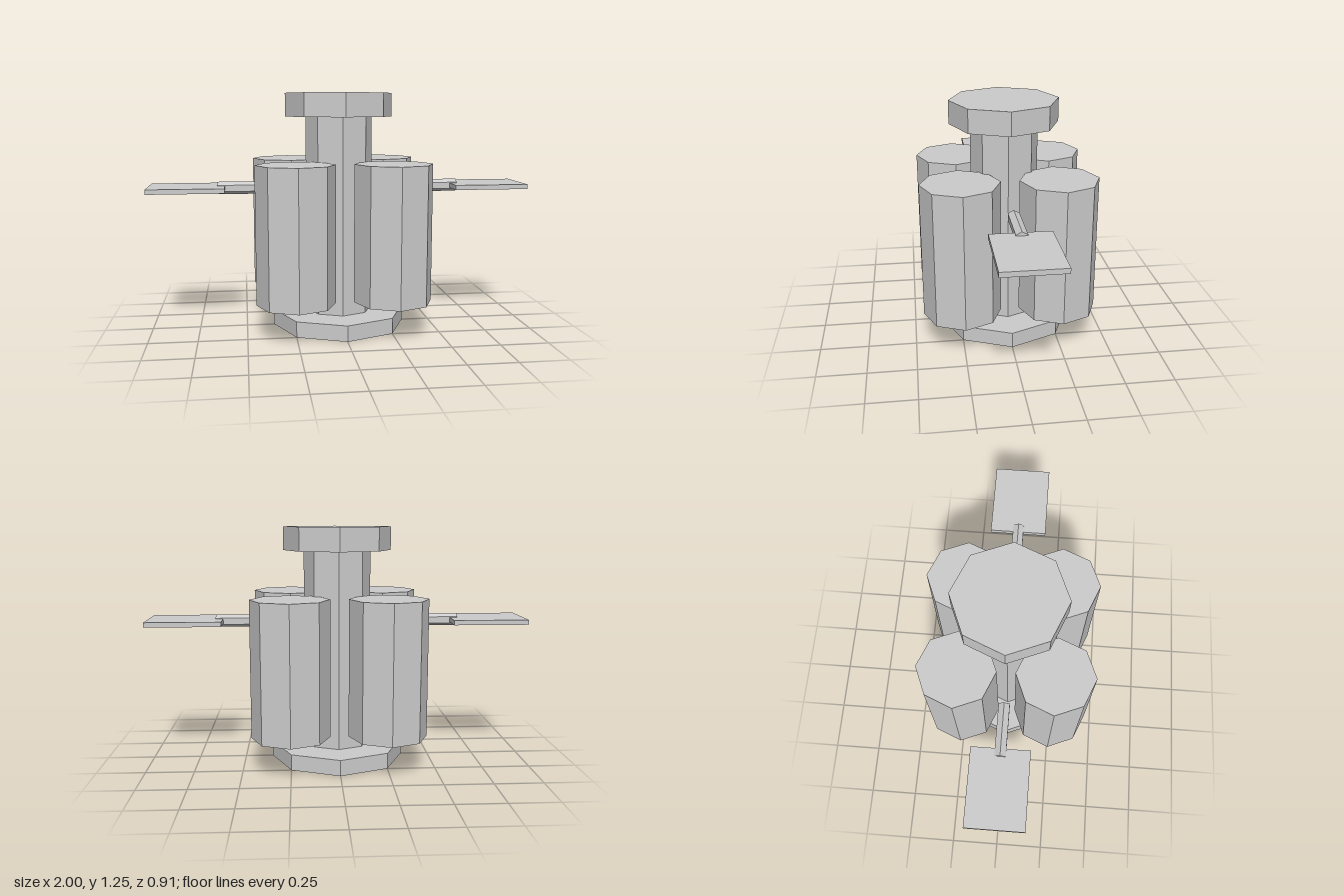
import * as THREE from 'three';

const material = new THREE.MeshStandardMaterial({ color: 0xcccccc, flatShading: true });

function addMesh(parent, name, geometry, x, y, z) {
  const mesh = new THREE.Mesh(geometry, material);
  mesh.name = name;
  mesh.position.set(x, y, z);
  parent.add(mesh);
  return mesh;
}

// Upright eight-sided drum spanning y0 to y1
function addDrum(parent, name, radius, y0, y1, x = 0, z = 0) {
  const geometry = new THREE.CylinderGeometry(radius, radius, y1 - y0, 8);
  return addMesh(parent, name, geometry, x, (y0 + y1) / 2, z);
}

export function createModel() {
  const model = new THREE.Group();
  model.name = 'spaceStation';

  // Central stack
  addDrum(model, 'basePlate', 0.354, 0, 0.083);
  addDrum(model, 'core', 0.177, 0.083, 1.125);
  addDrum(model, 'topCap', 0.285, 1.125, 1.248);

  for (const side of [1, -1]) {
    const label = side > 0 ? 'left' : 'right';

    // Four tanks around the core
    for (const end of [1, -1]) {
      const name = label + (end > 0 ? 'Front' : 'Back') + 'Tank';
      addDrum(model, name, 0.203, 0.177, 0.89, side * 0.25, end * 0.25);
    }

    // Solar wing: hexagonal strut and flat panel
    const wing = new THREE.Group();
    wing.name = label + 'Wing';
    const strut = new THREE.CylinderGeometry(0.033, 0.033, 0.27, 6, 1, false, Math.PI / 6);
    strut.rotateZ(Math.PI / 2);
    addMesh(wing, 'strut', strut, side * 0.51, 0.752, 0);
    addMesh(wing, 'panel', new THREE.BoxGeometry(0.395, 0.025, 0.3), side * 0.8025, 0.752, 0);
    model.add(wing);
  }

  return model;
}
